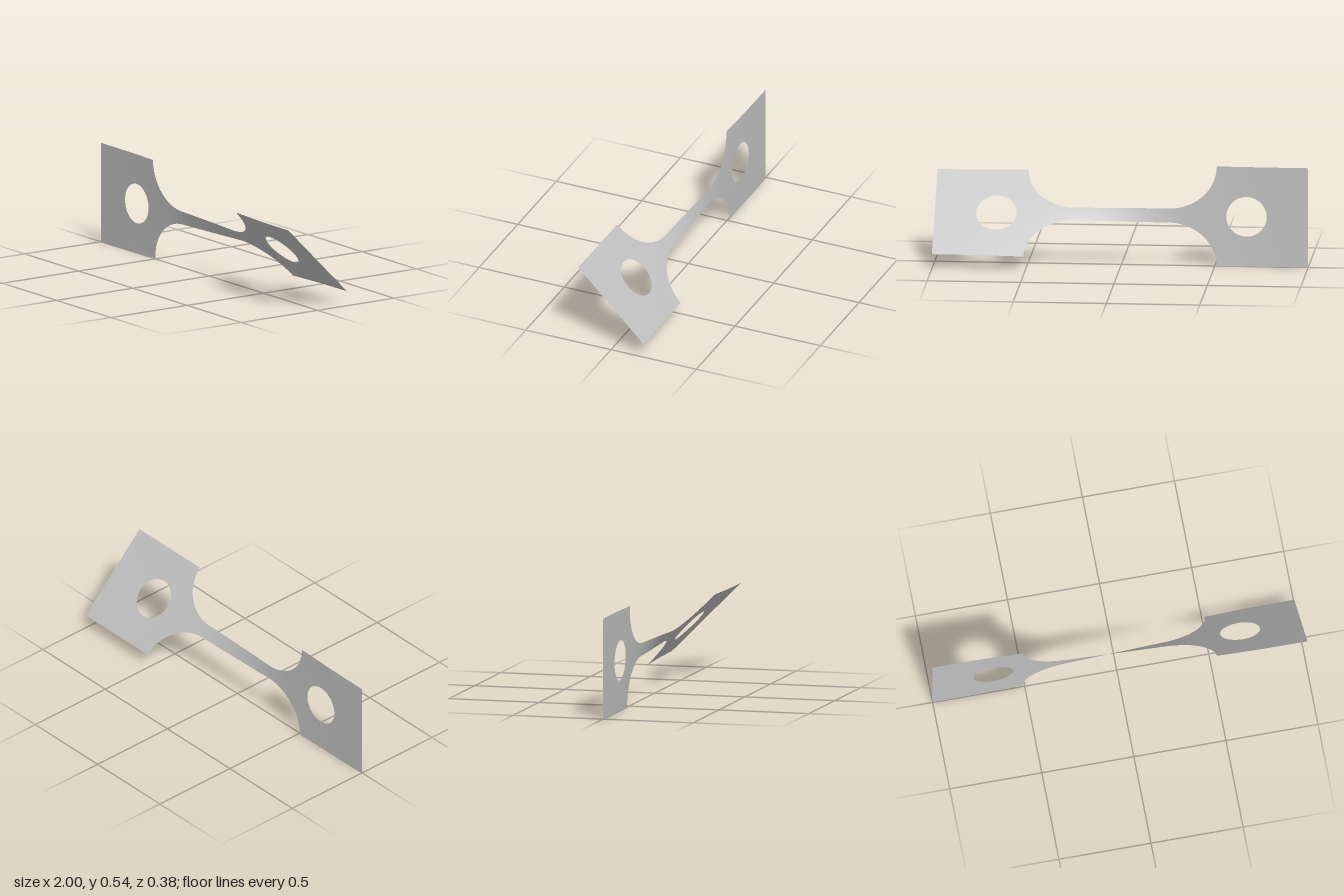
import * as THREE from 'three';
import { mergeVertices } from 'three/addons/utils/BufferGeometryUtils.js';

const HALF_HEIGHT = 0.271; // half height of the end tabs
const NECK = 0.037;        // half height of the narrow neck
const NECK_END = 0.25, TAB_START = 0.51;
const HOLE_X = 0.67, HOLE_R = 0.108;
const ROWS = 5;

// Outer edge of the strip, measured from its long axis
function outer(x) {
  const a = Math.abs(x);
  if (a <= NECK_END) return NECK;
  if (a >= TAB_START) return HALF_HEIGHT;
  const t = (a - NECK_END) / (TAB_START - NECK_END);
  return HALF_HEIGHT - (HALF_HEIGHT - NECK) * Math.sqrt(Math.max(0, 1 - t * t));
}

// Inner edge: zero, except around the round holes
function inner(x) {
  const d = Math.abs(x) - HOLE_X;
  return Math.sqrt(Math.max(0, HOLE_R * HOLE_R - d * d));
}

// Twist in degrees: stiff tabs, nearly all the rotation in the neck
const TWIST = [[0, 22.5], [0.25, 37.6], [0.33, 40.6], [0.42, 42.5], [0.51, 43.3], [0.75, 44.7], [1, 45]];
function twist(x) {
  const a = Math.abs(x);
  let i = 0;
  while (i < TWIST.length - 2 && a > TWIST[i + 1][0]) i++;
  const [x0, t0] = TWIST[i], [x1, t1] = TWIST[i + 1];
  const offset = THREE.MathUtils.lerp(t0, t1, (a - x0) / (x1 - x0)) - 22.5;
  return THREE.MathUtils.degToRad(22.5 + Math.sign(x) * offset);
}

// Column positions, denser along the fillets and hole rims
function columns() {
  const half = [];
  for (let i = 1; i <= 12; i++) half.push((NECK_END * i) / 12);
  for (let i = 1; i <= 24; i++) half.push(NECK_END + (TAB_START - NECK_END) * Math.sin((i / 24) * Math.PI / 2));
  for (let i = 0; i <= 32; i++) half.push(HOLE_X - HOLE_R * Math.cos((i / 32) * Math.PI));
  for (let i = 1; i <= 6; i++) half.push(HOLE_X + HOLE_R + (1 - HOLE_X - HOLE_R) * i / 6);
  return [...half.map((x) => -x).reverse(), 0, ...half];
}

function twistedSheet() {
  const xs = columns(), positions = [], index = [];
  // Upper and lower halves meet on the axis
  for (const side of [1, -1]) {
    const base = positions.length / 3;
    for (const x of xs) {
      const angle = twist(x);
      for (let j = 0; j <= ROWS; j++) {
        const r = side * THREE.MathUtils.lerp(inner(x), outer(x), j / ROWS);
        positions.push(x, HALF_HEIGHT + r * Math.cos(angle), r * Math.sin(angle));
      }
    }
    for (let i = 0; i < xs.length - 1; i++) {
      for (let j = 0; j < ROWS; j++) {
        const a = base + i * (ROWS + 1) + j, b = a + ROWS + 1;
        if (side > 0) index.push(a, b, b + 1, a, b + 1, a + 1);
        else index.push(a, b + 1, b, a, a + 1, b + 1);
      }
    }
  }
  const sheet = new THREE.BufferGeometry();
  sheet.setAttribute('position', new THREE.Float32BufferAttribute(positions, 3));
  sheet.setIndex(index);
  const merged = mergeVertices(sheet, 1e-5);
  merged.computeVertexNormals();
  return merged;
}

export function createModel() {
  const metal = new THREE.MeshStandardMaterial({ color: 0xc0c0c0, side: THREE.DoubleSide });
  metal.name = 'grey metal';
  const strip = new THREE.Mesh(twistedSheet(), metal);
  strip.name = 'twistedStrip';
  const group = new THREE.Group();
  group.name = 'twistedTestStrip';
  group.add(strip);
  return group;
}
